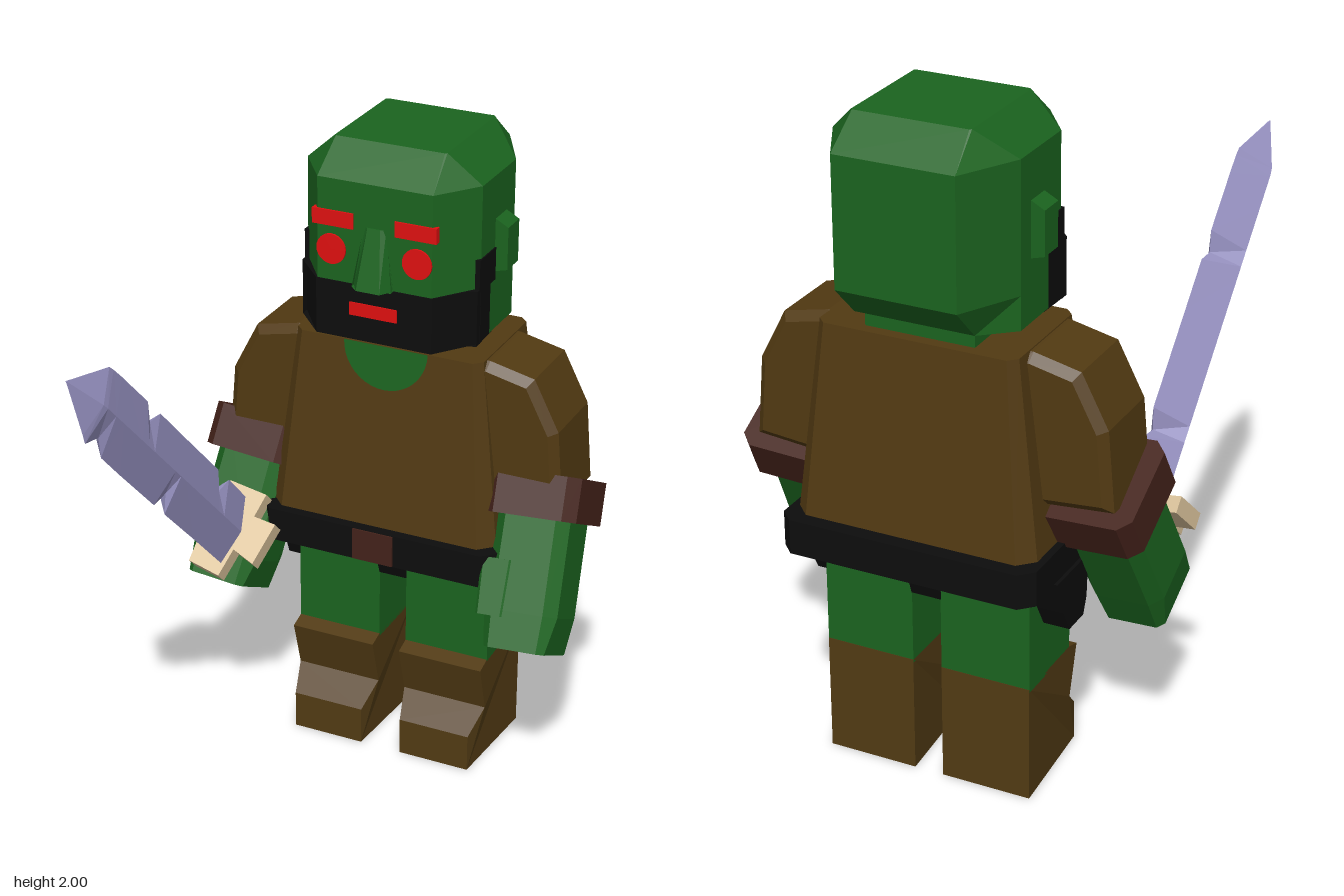
import * as THREE from 'three';

const GREEN = 0x1b641f, TUNIC = 0x523a12, BOOT = 0x523b14, LEATHER = 0x44221a, BLACK = 0x0d0d0d;
const RED = 0xe01010, STEEL = 0x9a95c5, BONE = 0xdcc49c;

// Skin of quads through equal-sized rings (each ring a list of [x, y, z]), capped at both ends
function loft(rings) {
  const n = rings[0].length, index = [], last = (rings.length - 1) * n;
  for (let r = 0; r < rings.length - 1; r++) {
    for (let i = 0; i < n; i++) {
      const a = r * n + i, b = r * n + (i + 1) % n;
      index.push(a, b, b + n, a, b + n, a + n);
    }
  }
  for (let i = 1; i < n - 1; i++) {
    index.push(0, i + 1, i, last, last + i, last + i + 1);
  }
  const geo = new THREE.BufferGeometry();
  geo.setAttribute('position', new THREE.Float32BufferAttribute(rings.flat(2), 3));
  geo.setIndex(index);
  geo.computeVertexNormals();
  return geo;
}

// Horizontal rectangle with cut corners: cx, cz in front and bx, bz at the back
function oct(y, hx, zBack, zFront, cx, cz = cx, bx = cx, bz = cz) {
  return [
    [-hx + cx, y, zFront], [hx - cx, y, zFront], [hx, y, zFront - cz], [hx, y, zBack + bz],
    [hx - bx, y, zBack], [-hx + bx, y, zBack], [-hx, y, zBack + bz], [-hx, y, zFront - cz],
  ];
}

function box(x0, x1, y0, y1, z0, z1) {
  return new THREE.BoxGeometry(x1 - x0, y1 - y0, z1 - z0)
    .translate((x0 + x1) / 2, (y0 + y1) / 2, (z0 + z1) / 2);
}

const outline = (pts) => new THREE.Shape(pts.map(([x, y]) => new THREE.Vector2(x, y)));

// Side profile of [z, y] points, extruded from x0 to x1
function slab(pts, x0, x1) {
  return new THREE.ExtrudeGeometry(outline(pts.map(([z, y]) => [-z, y])), { depth: x1 - x0, bevelEnabled: false })
    .rotateY(Math.PI / 2).translate(x0, 0, 0);
}

// Copy reflected in x, with the corner order restored
function mirrored(geo) {
  const out = geo.index ? geo.toNonIndexed() : geo.clone();
  out.scale(-1, 1, 1);
  const p = out.attributes.position;
  for (let i = 0; i < p.count; i += 3) {
    const b = new THREE.Vector3().fromBufferAttribute(p, i + 1);
    const c = new THREE.Vector3().fromBufferAttribute(p, i + 2);
    p.setXYZ(i + 1, c.x, c.y, c.z);
    p.setXYZ(i + 2, b.x, b.y, b.z);
  }
  out.computeVertexNormals();
  return out;
}

export function createModel() {
  const model = new THREE.Group();
  model.name = 'warrior';
  const add = (name, geo, color) => {
    const mesh = new THREE.Mesh(geo, new THREE.MeshStandardMaterial({ color, flatShading: true }));
    mesh.name = name;
    model.add(mesh);
  };
  const pair = (name, geo, color) => {
    add('left' + name, geo, color);
    add('right' + name, mirrored(geo), color);
  };

  // Head with cut corners, a sloped crown and a sloped nape
  add('head', loft([
    oct(1.43, 0.275, -0.65, -0.2, 0.095, 0.13, 0.095, 0.08),
    oct(1.53, 0.275, -0.75, -0.2, 0.095, 0.13, 0.095, 0.18),
    oct(1.91, 0.275, -0.75, -0.2, 0.095, 0.13, 0.095, 0.18),
    oct(2.0, 0.175, -0.65, -0.3, 0.005),
  ]), GREEN);
  add('beard', loft([1.428, 1.6].map((y) => oct(y, 0.279, -0.43, -0.196, 0.096, 0.13, 0.005))), BLACK);
  add('sideburns', box(-0.279, 0.279, 1.59, 1.69, -0.43, -0.315), BLACK);
  add('nose', loft([
    oct(1.6, 0.062, -0.22, -0.155, 0.025, 0.04, 0.003),
    oct(1.78, 0.035, -0.22, -0.195, 0.015, 0.01, 0.003),
  ]), GREEN);
  add('mouth', box(-0.075, 0.075, 1.505, 1.545, -0.21, -0.192), RED);
  pair('Eye', new THREE.CylinderGeometry(0.046, 0.046, 0.012, 24).rotateX(Math.PI / 2)
    .translate(0.135, 1.697, -0.2), RED);
  pair('Eyebrow', box(0.065, 0.195, 1.768, 1.815, -0.215, -0.194), RED);
  pair('Ear', new THREE.ExtrudeGeometry(
    outline([[0.26, 1.61], [0.315, 1.625], [0.315, 1.755], [0.26, 1.785]]),
    { depth: 0.08, bevelEnabled: false }).translate(0, 0, -0.51), GREEN);
  add('neck', box(-0.165, 0.165, 1.36, 1.44, -0.62, -0.33), GREEN);

  // Tunic, open at the throat, and its sleeves
  add('torso', loft([
    oct(0.79, 0.37, -0.705, -0.232, 0.045),
    oct(1.38, 0.3, -0.655, -0.285, 0.025),
  ]), TUNIC);
  add('openCollar', new THREE.CircleGeometry(0.135, 20, Math.PI, Math.PI)
    .rotateX(-0.09).translate(0, 1.38, -0.282), GREEN);
  pair('Sleeve', new THREE.ExtrudeGeometry(
    outline([[0.25, 1.378], [0.31, 1.376], [0.45, 1.345], [0.53, 1.19], [0.55, 0.95], [0.32, 0.93]]),
    { depth: 0.23, bevelSize: 0.025, bevelOffset: -0.025, bevelThickness: 0.025, bevelSegments: 1 })
    .translate(0, 0, -0.565), TUNIC);

  // Arms bent forward at the cuff
  const onArm = (geo) => geo.rotateZ(0.07).rotateX(-0.49).translate(0.465, 0.925, -0.425);
  pair('Cuff', onArm(loft([-0.066, 0.066].map((y) => oct(y, 0.142, -0.153, 0.153, 0.035)))), LEATHER);
  pair('Forearm', onArm(loft([
    oct(-0.463, 0.095, -0.115, 0.117, 0.02),
    oct(-0.35, 0.115, -0.117, 0.117, 0.035),
    oct(0, 0.113, -0.117, 0.117, 0.035),
  ])), GREEN);
  pair('Thumb', onArm(loft([
    oct(-0.37, 0.045, -0.04, 0.122, 0.01),
    oct(-0.2, 0.05, -0.04, 0.122, 0.01),
  ]).translate(-0.085, 0, 0)), GREEN);

  // Belt, buckle, crotch piece and side flaps
  add('belt', loft([0.7, 0.805].map((y) => oct(y, 0.39, -0.75, -0.2, 0.04))), BLACK);
  add('buckle', box(-0.066, 0.066, 0.702, 0.803, -0.23, -0.195), LEATHER);
  add('crotch', slab([[-0.3, 0.71], [-0.35, 0.58], [-0.61, 0.58], [-0.655, 0.71]], -0.046, 0.046), BLACK);
  pair('HipFlap', slab([[-0.4, 0.71], [-0.41, 0.58], [-0.43, 0.53], [-0.52, 0.53], [-0.56, 0.6], [-0.6, 0.71]],
    0.315, 0.4), BLACK);

  // Legs and boots, the toe narrowed towards the front
  pair('Leg', box(0.045, 0.32, 0.35, 0.71, -0.609, -0.35), GREEN);
  const boot = slab([[-0.61, 0], [-0.265, 0], [-0.265, 0.12], [-0.345, 0.19], [-0.3, 0.345], [-0.35, 0.36],
    [-0.61, 0.36]], 0.045, 0.32);
  const p = boot.attributes.position;
  for (let i = 0; i < p.count; i++) {
    if (p.getZ(i) > -0.28) p.setX(i, 0.1825 + (p.getX(i) - 0.1825) * 0.84);
  }
  boot.computeVertexNormals();
  pair('Boot', boot, BOOT);

  // Sword: u runs along the blade, v across it, tilted 45 degrees forward
  const place = (x, v, u) => [-0.45 + x, (u + v + 0.612) * Math.SQRT1_2, (u - v - 0.612) * Math.SQRT1_2];
  // Blade stations: u, upper edge, lower edge, thickness; the dips are the nicks
  const blade = [
    [0.42, 0.11, 0.11, 1], [0.601, 0.112, 0.11, 1], [0.64, 0.062, 0.11, 1], [0.69, 0.112, 0.11, 1],
    [0.916, 0.112, 0.112, 1], [0.954, 0.112, 0.06, 1], [0.997, 0.112, 0.112, 1],
    [1.156, 0.113, 0.112, 1], [1.198, 0.07, 0.112, 1], [1.25, 0.113, 0.112, 1],
    [1.385, 0.112, 0.11, 1], [1.437, 0.112, 0.07, 1], [1.495, 0.11, 0.11, 1], [1.52, 0.108, 0.095, 0.95],
    [1.669, 0.002, 0.002, 0.03],
  ];
  add('blade', loft(blade.map(([u, top, bottom, t]) => [
    place(0.05 * t, 0, u), place(0.025 * t, top, u), place(-0.055 * t, 0, u), place(0.02 * t, -bottom, u),
  ])), STEEL);

  // Rough cross-shaped bone guard and the grip inside the fist
  const onSword = (geo, u) => geo.rotateX(-Math.PI / 4).translate(...place(0, 0, u));
  add('guard', onSword(new THREE.ExtrudeGeometry(outline([
    [-0.155, -0.03], [-0.08, -0.05], [-0.085, -0.125], [0.025, -0.15], [0.045, -0.06], [0.12, -0.09],
    [0.15, 0.045], [0.075, 0.055], [0.09, 0.13], [-0.04, 0.15], [-0.055, 0.075], [-0.135, 0.105],
  ]), { depth: 0.05, bevelEnabled: false }), 0.405), BONE);
  add('grip', onSword(new THREE.CylinderGeometry(0.04, 0.04, 0.2, 8).rotateX(Math.PI / 2), 0.33), BONE);

  return model;
}
